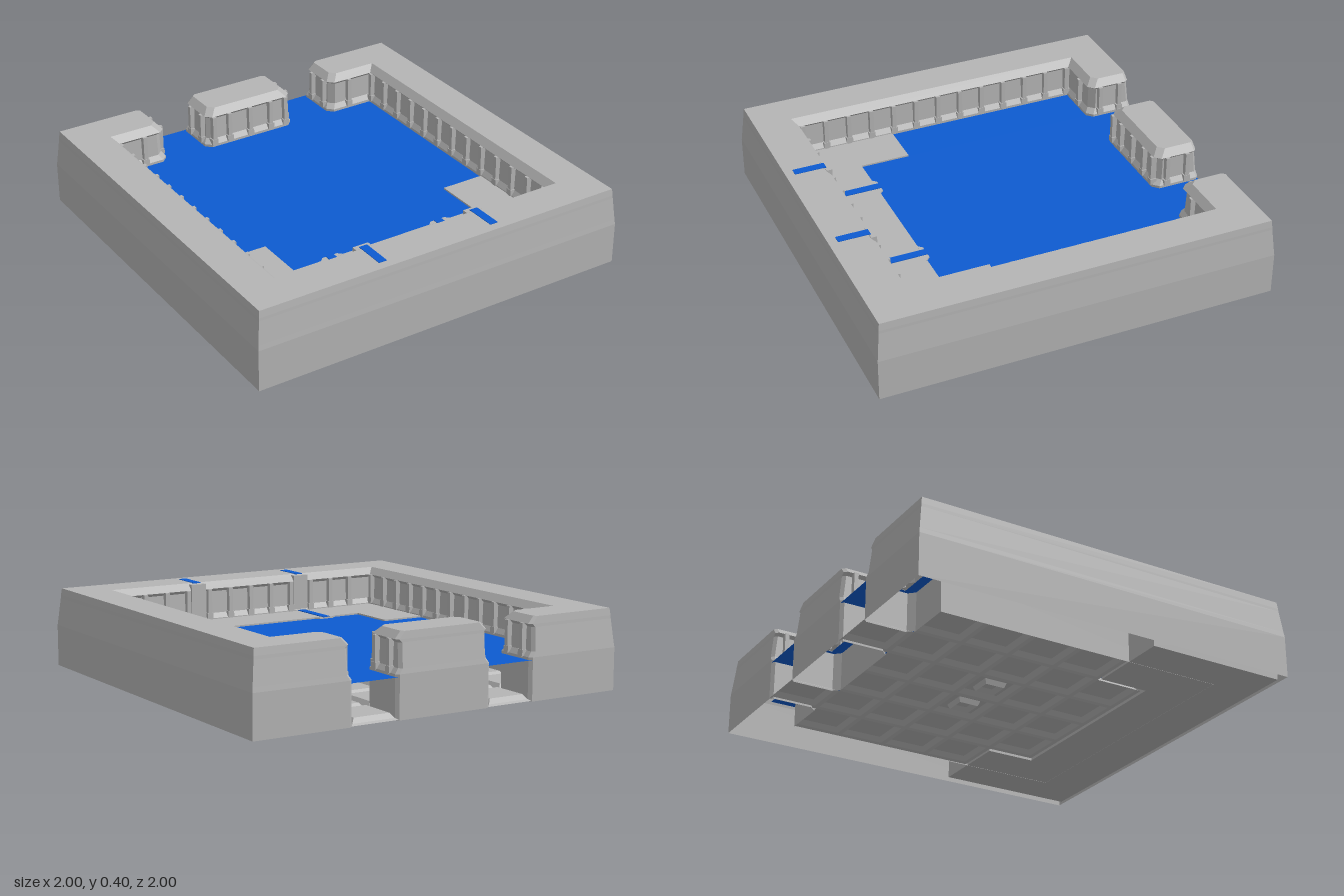
import * as THREE from 'three';

const stone = new THREE.MeshStandardMaterial({ color: 0xb4b4b4, side: THREE.DoubleSide });
stone.name = 'grey stone';
const water = new THREE.MeshStandardMaterial({ color: 0x0d5bd0, side: THREE.DoubleSide });
water.name = 'blue water';

// Stack of matching [x, z] outlines at given heights, with optional end caps
function loft(levels, { top = true, bottom = false } = {}) {
  const out = [];
  const rings = levels.map(({ y, pts }) => {
    const ring = pts.map(([x, z]) => new THREE.Vector2(x, z));
    return { y, ring: THREE.ShapeUtils.area(ring) < 0 ? ring.reverse() : ring };
  });
  const put = (p, y) => out.push(p.x, y, p.y);
  for (let k = 0; k + 1 < rings.length; k++) {
    const lo = rings[k], hi = rings[k + 1], n = lo.ring.length;
    for (let i = 0; i < n; i++) {
      const j = (i + 1) % n;
      put(lo.ring[i], lo.y); put(hi.ring[i], hi.y); put(lo.ring[j], lo.y);
      put(lo.ring[j], lo.y); put(hi.ring[i], hi.y); put(hi.ring[j], hi.y);
    }
  }
  const cap = ({ y, ring }, up) => {
    for (const [a, b, c] of THREE.ShapeUtils.triangulateShape(ring, [])) {
      const t = [ring[a], ring[b], ring[c]];
      if ((THREE.ShapeUtils.area(t) > 0) === up) t.reverse();
      t.forEach(p => put(p, y));
    }
  };
  if (top) cap(rings[rings.length - 1], true);
  if (bottom) cap(rings[0], false);
  const geo = new THREE.BufferGeometry();
  geo.setAttribute('position', new THREE.Float32BufferAttribute(out, 3));
  geo.computeVertexNormals();
  return geo;
}

// Mirrors a half outline (running from front to back on +x) to the other side
const mirrored = half => [...half, ...half.map(([x, z]) => [-x, z]).reverse()];
const rect = (x, z, w, d) => [[x - w / 2, z - d / 2], [x + w / 2, z - d / 2], [x + w / 2, z + d / 2], [x - w / 2, z + d / 2]];

export function createModel() {
  const group = new THREE.Group();
  const add = (name, geo, mat = stone) => {
    const mesh = new THREE.Mesh(geo, mat);
    mesh.name = name;
    group.add(mesh);
    return mesh;
  };

  // Wall profile: height, set-back of the inner face, outer half size
  const profile = [
    [0, 0, 1], [0.21, 0, 1], [0.235, 0.018, 0.997],
    [0.35, 0.022, 0.985], [0.365, 0.007, 0.984], [0.4, 0.04, 0.98],
  ];
  const c = 0.03;
  add('surroundingWall', loft(profile.map(([y, d, o]) => {
    const i = 0.75 + d, n = 0.49 + d;
    return { y, pts: mirrored([
      [i, i], [i, -i], [n + c, -i], [n, -i - c], [n, -o + c / 2], [n + c / 2, -o], [o, -o], [o, o],
    ].reverse()) };
  }).map(l => ({ y: l.y, pts: l.pts }))));
  add('middleWall', loft(profile.map(([y, d, o]) => {
    const i = 0.75 + d, m = 0.26 - d;
    return { y, pts: mirrored([[m - c, -i], [m, -i - c], [m, -o + c / 2], [m - c / 2, -o]]) };
  })));

  // Ribs between the recessed wall panels
  const ribGeo = new THREE.BoxGeometry(0.022, 0.16, 0.03);
  const footGeo = new THREE.BoxGeometry(0.034, 0.03, 0.034);
  const rib = (x, z, turn) => {
    for (const [geo, y] of [[ribGeo, 0.285], [footGeo, 0.225]]) {
      const r = add('wallRib', geo);
      r.position.set(x, y, z);
      r.rotation.y = turn;
    }
  };
  const r = 0.76;
  for (let k = -6; k <= 6; k++) {
    const t = k * 0.125 * 0.99;
    for (const s of [-1, 1]) rib(s * r, t, Math.PI / 2);
    if (Math.abs(k) !== 6) rib(t, r, 0);
    if (Math.abs(k) < 2 || Math.abs(k) === 5) rib(t, -r, 0);
  }
  for (const s of [-1, 1]) {
    rib(s * 0.215, -r, 0);
    for (const z of [-0.93, -0.82]) {
      rib(s * 0.25, z, Math.PI / 2);
      rib(s * 0.5, z, Math.PI / 2);
    }
  }

  // Raised walkway along the front of the basin
  const walk = mirrored([[0.95, 0.98], [0.95, 0.26], [0.52, 0.26], [0.52, 0.515]]);
  add('frontWalkway', loft([{ y: 0.001, pts: walk }, { y: 0.205, pts: walk }], { bottom: true }));

  // Water surface, with two outlets at the back
  const pool = mirrored([
    [0.52, 0.53], [0.52, 0.28], [0.94, 0.28], [0.94, -0.8], [0.51, -0.8],
    [0.51, -0.998], [0.24, -0.998], [0.24, -0.8],
  ]);
  add('waterSurface', loft([{ y: 0.197, pts: pool }]), water);

  // Narrow water channels over the front wall and walkway
  for (const s of [-1, 1]) {
    const x = s * 0.31;
    const strip = (name, y, z0, z1) => {
      const m = add(name, new THREE.BoxGeometry(0.042, 0.004, z1 - z0), water);
      m.position.set(x, y, (z0 + z1) / 2);
    };
    strip('wallChannel', 0.4005, 0.775, 0.935);
    strip('walkwayChannel', 0.2065, 0.495, 0.76);
    const spout = add('wallSpout', new THREE.BoxGeometry(0.085, 0.19, 0.03));
    spout.position.set(x, 0.3, 0.767);
    const lip = [[x - 0.04, 0.495], [x + 0.04, 0.495], [x + 0.065, 0.52], [x - 0.065, 0.52]];
    add('channelLip', loft([{ y: 0.17, pts: lip }, { y: 0.2055, pts: lip }]));
  }

  // Bevelled floor slabs under the water
  const slab = (x, z, stepped) => {
    const levels = [
      { y: 0.004, pts: rect(x, z, 0.25, 0.25) },
      { y: 0.012, pts: rect(x, z, 0.225, 0.225) },
      { y: 0.035, pts: rect(x, z, 0.19, 0.19) },
    ];
    if (stepped) {
      levels.push({ y: 0.035, pts: rect(x, z, 0.12, 0.12) }, { y: 0.01, pts: rect(x, z, 0.1, 0.1) },
        { y: 0.03, pts: rect(x, z, 0.06, 0.06) });
    }
    add('floorSlab', loft(levels));
  };
  for (let col = 0; col < 6; col++) {
    for (let row = 0; row < 5; row++) {
      if (row === 4 && (col === 0 || col === 5)) continue;
      slab(-0.625 + col * 0.25, -0.625 + row * 0.25, row === 2 && (col === 2 || col === 3));
    }
  }
  for (const s of [-1, 1]) slab(s * 0.375, -0.875, false);

  return group;
}
